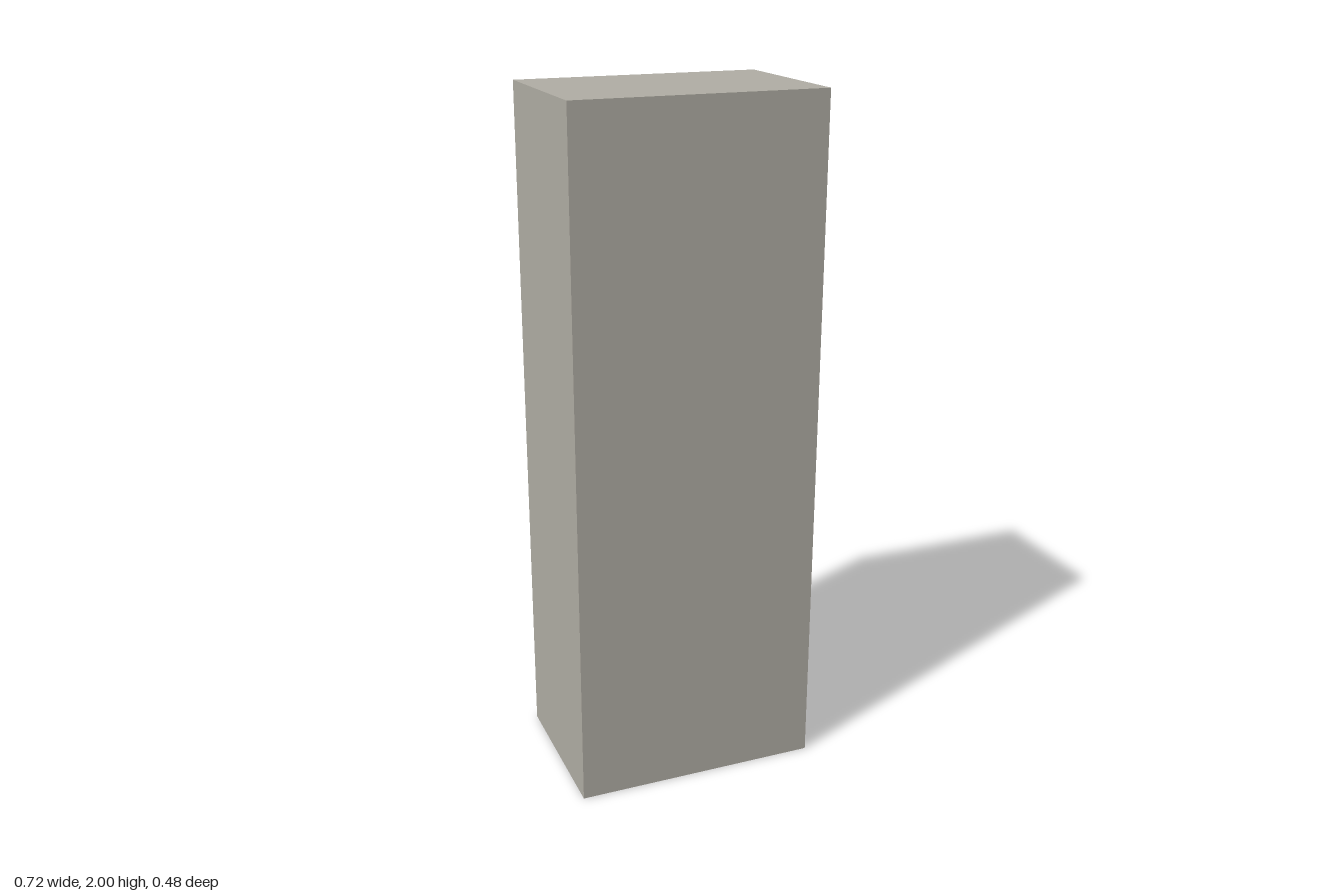
import * as THREE from 'three';

const W = 0.72, H = 2, D = 0.48, T = 0.015;

export function createModel() {
  const group = new THREE.Group();
  const board = new THREE.MeshStandardMaterial({ color: 0xb0ada4 });
  board.name = 'warm grey board';

  // Box given by its limits on each axis
  function box(name, x0, x1, y0, y1, z0, z1, parent = group) {
    const mesh = new THREE.Mesh(new THREE.BoxGeometry(x1 - x0, y1 - y0, z1 - z0), board);
    mesh.position.set((x0 + x1) / 2, (y0 + y1) / 2, (z0 + z1) / 2);
    mesh.name = name;
    parent.add(mesh);
    return mesh;
  }

  const xi = W / 2 - T;          // inner face of the sides
  const back = -D / 2;           // open side
  const inner = D / 2 - T;       // inner face of the closed panel
  const baseTop = 0.085;
  const divL = 0.013, divR = divL + T;

  // Carcass
  box('closedPanel', -W / 2, W / 2, 0, H, inner, D / 2);
  box('leftSide', xi, W / 2, 0, H, back, inner);
  box('rightSide', -W / 2, -xi, 0, H, back, inner);
  box('topPanel', -xi, xi, H - T, H, back, inner);
  box('plinth', -xi, xi, 0, baseTop, back, inner);

  // Full-width shelves and the upright between them
  box('bottomShelf', -xi, xi, 0.128, 0.143, back, inner);
  box('upperShelf', -xi, xi, 1.71, 1.725, back, inner);
  box('divider', divL, divR, 0.143, 1.71, back, inner);
  box('dividerFoot', divL, divR, baseTop, 0.128, back, inner);

  // Shelves of the narrow bay
  for (const top of [1.4, 1.16]) {
    box('smallShelf', divR, xi, top - T, top, back, inner);
  }

  // Open-topped drawers
  const z0 = back + 0.028, z1 = back + 0.3;
  const a = divR + 0.001, b = xi - 0.001, t = 0.01;
  for (let i = 0; i < 3; i++) {
    const drawer = new THREE.Group();
    drawer.name = 'drawer';
    const y0 = 0.428 + i * 0.2155, y1 = y0 + 0.205;
    box('drawerFront', a, b, y0, y1, z0, z0 + t, drawer);
    box('drawerBack', a, b, y0, y1, z1 - t, z1, drawer);
    box('drawerLeftSide', b - t, b, y0, y1, z0 + t, z1 - t, drawer);
    box('drawerRightSide', a, a + t, y0, y1, z0 + t, z1 - t, drawer);
    box('drawerBottom', a + t, b - t, y0, y0 + t, z0 + t, z1 - t, drawer);
    group.add(drawer);
  }

  // Hanging rail of the wide bay
  const rail = new THREE.Mesh(new THREE.CylinderGeometry(0.01, 0.01, xi + divL, 20), board);
  rail.rotation.z = Math.PI / 2;
  rail.position.set((divL - xi) / 2, 1.565, -0.05);
  rail.name = 'hangingRail';
  group.add(rail);

  return group;
}
